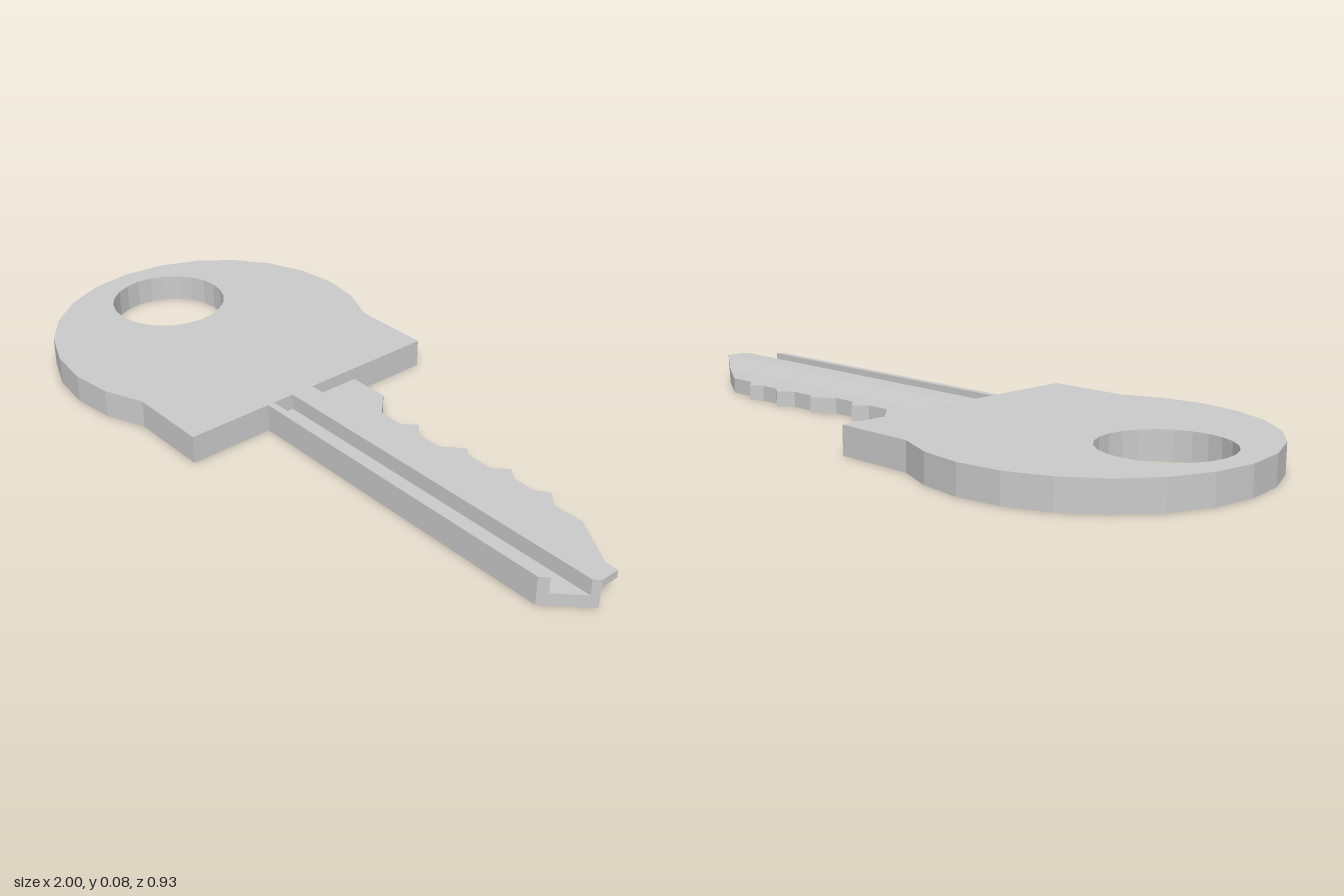
import * as THREE from 'three';

const THICK = 0.08;   // height of the whole key lying flat
const ROOT = -0.067;  // x where the blade leaves the bow
const material = new THREE.MeshStandardMaterial({ color: 0xcccccc, flatShading: true });

const named = (name, geometry) => {
  const mesh = new THREE.Mesh(geometry, material);
  mesh.name = name;
  return mesh;
};

// Extrude a plan outline (x, -z) upwards from the ground
const slab = (shape, height) =>
  new THREE.ExtrudeGeometry(shape, { depth: height, bevelEnabled: false }).rotateX(-Math.PI / 2);

// Points on a regular 24-sided circle, from step a to step b
const arc = (cx, r, a, b) => {
  const pts = [];
  for (let i = a; i <= b; i++) {
    const t = (i * Math.PI) / 12;
    pts.push(new THREE.Vector2(cx + r * Math.cos(t), r * Math.sin(t)));
  }
  return pts;
};

// Round bow with a short square shoulder and a ring hole
function bowGeometry() {
  const shoulder = 0.465 * Math.sin(Math.PI / 3);
  const shape = new THREE.Shape([
    ...arc(-0.535, 0.465, 4, 20),
    new THREE.Vector2(ROOT, -shoulder),
    new THREE.Vector2(ROOT, shoulder),
  ]);
  shape.holes.push(new THREE.Path(arc(-0.76, 0.17, 0, 23)));
  return slab(shape, THICK);
}

// Thin cut edge of the blade
function teethGeometry() {
  const cuts = [
    [ROOT, 0.03], [ROOT, 0.155], [0.055, 0.155], [0.12, 0.09], [0.195, 0.09],
    [0.23, 0.125], [0.265, 0.09], [0.34, 0.09], [0.395, 0.14], [0.415, 0.12],
    [0.495, 0.12], [0.535, 0.155], [0.57, 0.13], [0.635, 0.13], [0.67, 0.155],
    [0.71, 0.12], [0.8, 0.12], [0.95, 0.03],
  ];
  return slab(new THREE.Shape(cuts.map(([x, y]) => new THREE.Vector2(x, y))), 0.045);
}

// Grooved blade: cross-section stations [z, bottom, top], run from the root to a pointed tip
function bladeGeometry() {
  const stations = [
    [-0.03, 0, 0.045], [0, 0.058, THICK], [0.055, 0.058, THICK], [0.055, 0, THICK],
    [0.07, 0, THICK], [0.07, 0, 0.035], [0.135, 0, 0.035], [0.135, 0, THICK], [0.155, 0, THICK],
  ];
  const tipX = (z) => (z < 0 ? 1 + z / 0.6 : 1 - Math.max(0, z - 0.055));
  const positions = [];
  const quad = (a, b, c, d) => positions.push(...a, ...b, ...c, ...a, ...c, ...d);
  const corners = ([z, lo, hi]) => ({
    rootLo: [ROOT, lo, z], rootHi: [ROOT, hi, z],
    tipLo: [tipX(z), lo, z], tipHi: [tipX(z), hi, z],
  });
  for (let i = 0; i < stations.length - 1; i++) {
    const [z0, lo0, hi0] = stations[i];
    const [z1, lo1, hi1] = stations[i + 1];
    const p = corners(stations[i]);
    const q = corners(stations[i + 1]);
    const step = z0 !== z1;
    if (step || hi0 !== hi1) quad(p.rootHi, q.rootHi, q.tipHi, p.tipHi);
    if (step || lo0 !== lo1) quad(p.rootLo, p.tipLo, q.tipLo, q.rootLo);
    if (step) {
      quad(p.tipLo, p.tipHi, q.tipHi, q.tipLo);
      quad(p.rootLo, q.rootLo, q.rootHi, p.rootHi);
    }
  }
  // Long outer side of the blade
  const e = corners(stations[stations.length - 1]);
  quad(e.rootLo, e.tipLo, e.tipHi, e.rootHi);

  const geometry = new THREE.BufferGeometry();
  geometry.setAttribute('position', new THREE.Float32BufferAttribute(positions, 3));
  geometry.computeVertexNormals();
  return geometry;
}

export function createModel() {
  const key = new THREE.Group();
  key.name = 'key';
  key.add(
    named('bow', bowGeometry()),
    named('blade', bladeGeometry()),
    named('teeth', teethGeometry()),
  );
  return key;
}
